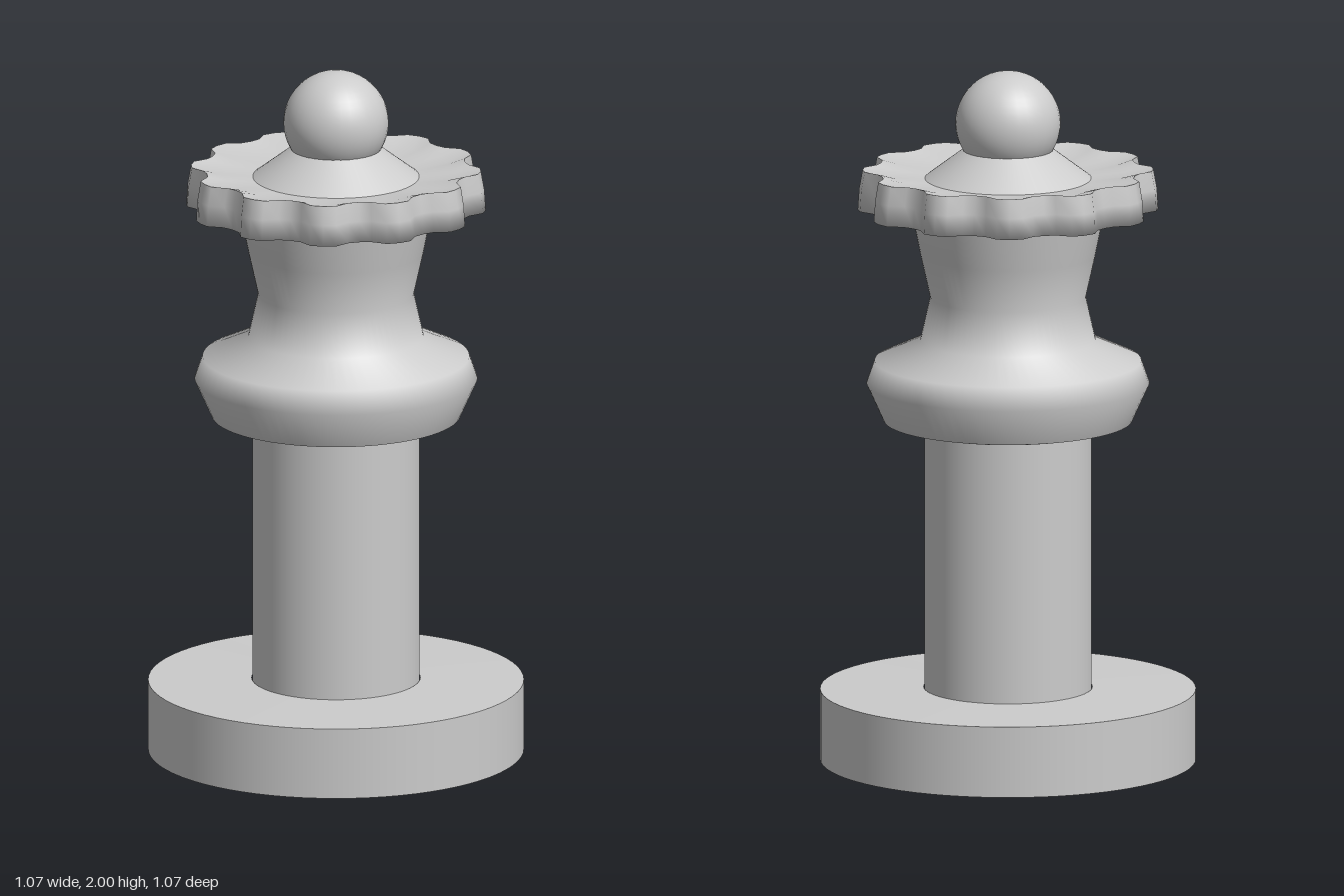
import * as THREE from 'three';
import { mergeVertices } from 'three/addons/utils/BufferGeometryUtils.js';

const SEGMENTS = 72;
const TEETH = 12;

export function createModel() {
  const model = new THREE.Group();
  const material = new THREE.MeshStandardMaterial({ color: 0xcccccc });

  // Turned surface from [radius, height] points, listed upward along the outside
  function turned(name, points, shape) {
    let geometry = new THREE.LatheGeometry(points.map(([r, y]) => new THREE.Vector2(r, y)), SEGMENTS);
    if (shape) {
      shape(geometry.attributes.position);
      geometry.deleteAttribute('uv');
      geometry.deleteAttribute('normal');
      geometry = mergeVertices(geometry, 1e-5);
      geometry.computeVertexNormals();
    }
    const mesh = new THREE.Mesh(geometry, material);
    mesh.name = name;
    model.add(mesh);
  }

  // Base disc: sharp edges between underside, rim and top
  turned('baseUnderside', [[0, 0], [0.535, 0]]);
  turned('baseRim', [[0.535, 0], [0.535, 0.205]]);
  turned('baseTop', [[0.535, 0.205], [0.24, 0.21]]);

  turned('column', [[0.238, 0.2], [0.238, 0.985]]);

  // Bulging collar that flows into the flared neck
  turned('collarUnderside', [[0.23, 0.98], [0.32, 0.98], [0.355, 0.988]]);
  turned('collarAndNeck', [
    [0.355, 0.988], [0.403, 1.095], [0.38, 1.16], [0.25, 1.22],
    [0.222, 1.345], [0.25, 1.47], [0.275, 1.595],
  ]);

  // Crown teeth: scale radii near the rim by a stepped wave, fading inward
  const wave = [1, 0.99, 0.915, 0.9];
  const period = SEGMENTS / TEETH;
  const scallop = (position) => {
    for (let i = 0; i < position.count; i++) {
      const x = position.getX(i), z = position.getZ(i);
      const r = Math.hypot(x, z);
      const step = Math.round(Math.atan2(x, z) / (2 * Math.PI) * SEGMENTS + SEGMENTS) % period;
      const fade = THREE.MathUtils.clamp((r - 0.26) / 0.14, 0, 1);
      const k = 1 + (wave[Math.min(step, period - step)] - 1) * fade;
      position.setX(i, x * k);
      position.setZ(i, z * k);
    }
  };
  turned('crownRim', [[0.272, 1.58], [0.35, 1.592], [0.428, 1.6], [0.424, 1.66], [0.414, 1.715]], scallop);
  turned('crownTop', [[0.414, 1.715], [0.34, 1.7], [0.235, 1.69]], scallop);

  // Cone under the finial
  turned('crownCone', [[0.237, 1.69], [0.125, 1.775]]);

  const finial = new THREE.Mesh(new THREE.SphereGeometry(0.15, 32, 24), material);
  finial.name = 'finialBall';
  finial.position.y = 1.85;
  model.add(finial);

  return model;
}
